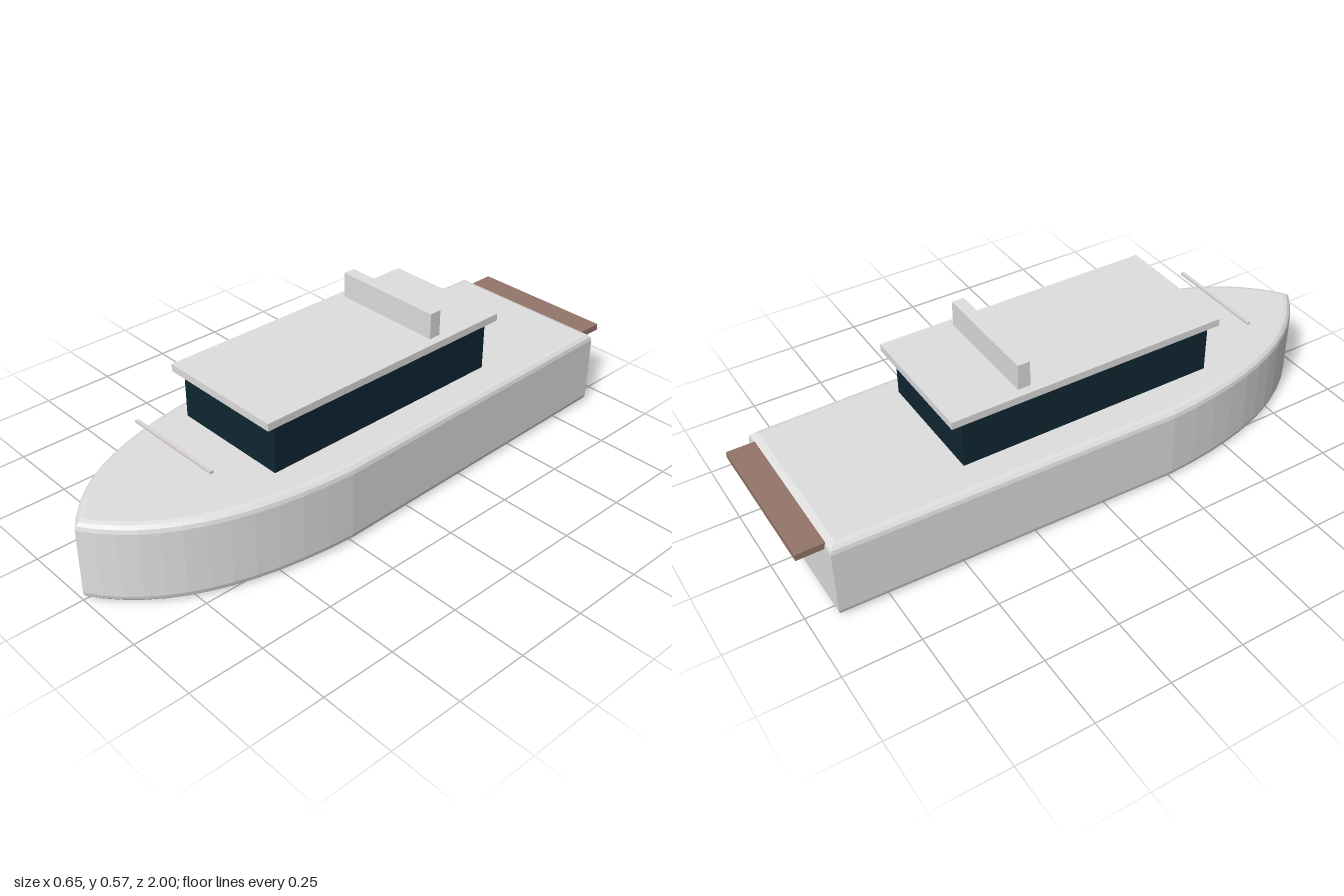
import * as THREE from 'three';

const mat = (name, color) => {
  const m = new THREE.MeshStandardMaterial({ color });
  m.name = name;
  return m;
};

export function createModel() {
  const boat = new THREE.Group();
  boat.name = 'motorYacht';
  const white = mat('hull white', 0xdedfde);
  const glass = mat('dark glass', 0x0f2733);
  const teak = mat('teak brown', 0x94766a);
  const steel = mat('rail steel', 0xdcd5d9);

  // Box given by its half width and its y and z limits
  const box = (name, material, halfX, y0, y1, z0, z1) => {
    const mesh = new THREE.Mesh(new THREE.BoxGeometry(halfX * 2, y1 - y0, z1 - z0), material);
    mesh.position.set(0, (y0 + y1) / 2, (z0 + z1) / 2);
    mesh.name = name;
    boat.add(mesh);
  };

  // Hull: plan outline with a pointed bow, extruded with rounded edges
  const plan = new THREE.Shape();
  plan.moveTo(-0.3, -0.912);
  plan.lineTo(0.3, -0.912);
  plan.lineTo(0.327, 0.25);
  plan.quadraticCurveTo(0.297, 0.81, 0, 0.998);
  plan.quadraticCurveTo(-0.297, 0.81, -0.327, 0.25);
  plan.closePath();
  const height = 0.274, bevel = 0.026;
  const hullGeometry = new THREE.ExtrudeGeometry(plan, {
    depth: height - bevel * 2, curveSegments: 12,
    bevelThickness: bevel, bevelSize: bevel, bevelOffset: -bevel, bevelSegments: 3,
  });
  hullGeometry.rotateX(Math.PI / 2);
  hullGeometry.translate(0, height - bevel, 0);
  const hull = new THREE.Mesh(hullGeometry, white);
  hull.name = 'hull';
  boat.add(hull);

  // Superstructure
  box('cabin', glass, 0.21, 0.289, 0.455, -0.44, 0.45);
  box('roof', white, 0.226, 0.455, 0.48, -0.48, 0.483);
  box('radarArch', white, 0.196, 0.48, 0.567, -0.241, -0.199);

  // Deck fittings
  box('bowRail', steel, 0.18, 0.369, 0.377, 0.646, 0.658);
  box('swimPlatform', teak, 0.257, 0.24, 0.262, -1, -0.895);

  return boat;
}
